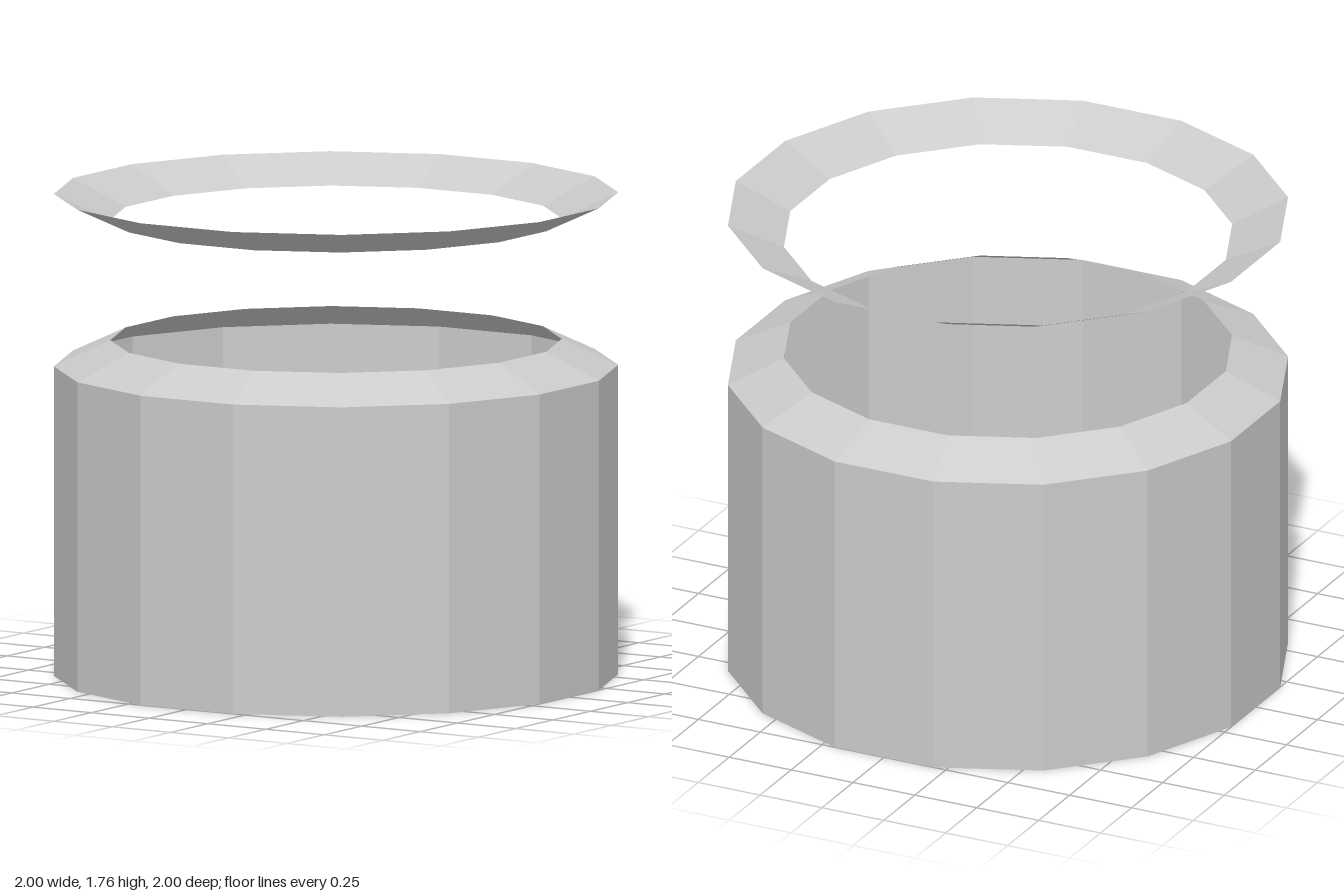
import * as THREE from 'three';

const SIDES = 16;
const HALF = Math.PI / SIDES;

export function createModel() {
  const group = new THREE.Group();
  const material = new THREE.MeshStandardMaterial({
    color: 0xcccccc, flatShading: true, side: THREE.DoubleSide,
  });

  // Open 16-sided band; radii are measured to the middle of the flat sides
  function band(name, bottomRadius, topRadius, y0, y1) {
    const geometry = new THREE.CylinderGeometry(
      topRadius / Math.cos(HALF), bottomRadius / Math.cos(HALF),
      y1 - y0, SIDES, 1, true, HALF);
    geometry.translate(0, (y0 + y1) / 2, 0);
    const mesh = new THREE.Mesh(geometry, material);
    mesh.name = name;
    group.add(mesh);
  }

  band('wall', 1, 1, 0, 1.13);
  band('shoulder', 1, 0.8, 1.13, 1.225);
  // Funnel-shaped ring floating above the open top
  band('floatingRing', 0.8, 1, 1.665, 1.76);

  return group;
}
